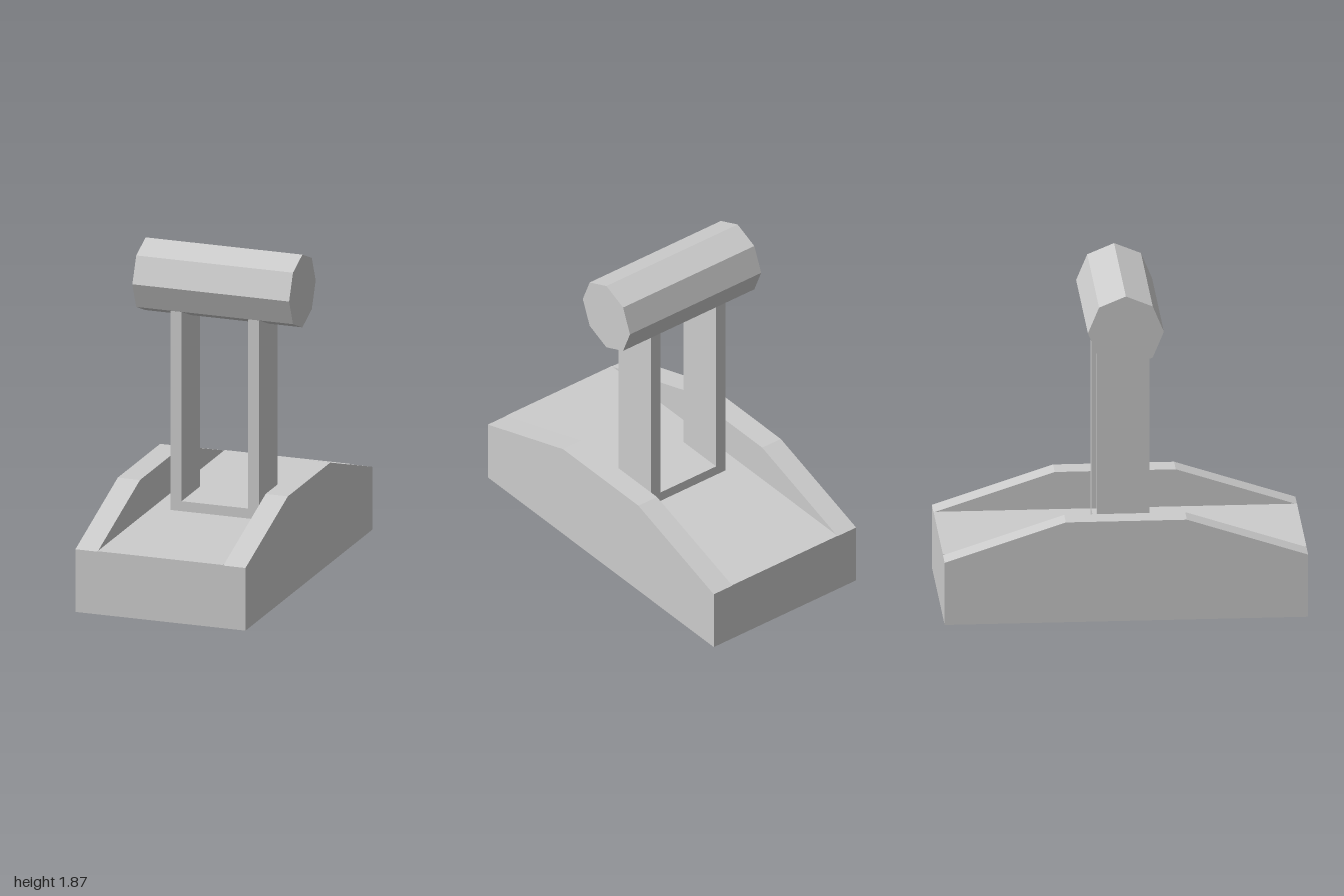
import * as THREE from 'three';

const paint = new THREE.MeshStandardMaterial({ color: 0xcccccc, flatShading: true });
paint.name = 'light grey';

function add(parent, name, geometry, x = 0, y = 0, z = 0) {
  const mesh = new THREE.Mesh(geometry, paint);
  mesh.name = name;
  mesh.position.set(x, y, z);
  parent.add(mesh);
  return mesh;
}

// Outline in the side plane (z, y), extruded along x and centred on x = 0
function sideExtrude(points, width) {
  const shape = new THREE.Shape(points.map(([z, y]) => new THREE.Vector2(-z, y)));
  const geometry = new THREE.ExtrudeGeometry(shape, { depth: width, bevelEnabled: false });
  geometry.translate(0, 0, -width / 2);
  return geometry.rotateY(Math.PI / 2);
}

export function createModel() {
  const model = new THREE.Group();
  model.name = 'pedestal';

  const halfWidth = 0.498, railInner = 0.368, floorY = 0.363;
  const railWidth = halfWidth - railInner;

  // Base block between the side walls
  add(model, 'base', new THREE.BoxGeometry(railInner * 2, floorY, 2), 0, floorY / 2, 0);

  // Side walls, rising to a flat middle
  const wall = [[-1, 0], [1, 0], [1, 0.36], [0.333, 0.578], [-0.333, 0.578], [-1, 0.36]];
  for (const side of [-1, 1]) {
    const label = side > 0 ? 'left' : 'right';
    add(model, label + 'SideWall', sideExtrude(wall, railWidth), side * (railInner + railWidth / 2));
  }

  // U-shaped bracket: two uprights joined at the foot
  const bracket = new THREE.Group();
  bracket.name = 'bracket';
  model.add(bracket);
  const depth = 0.288, inner = 0.195, outer = 0.26, top = 1.52;
  for (const side of [-1, 1]) {
    const label = side > 0 ? 'left' : 'right';
    add(bracket, label + 'Upright', new THREE.BoxGeometry(outer - inner, top - floorY, depth),
      side * (inner + outer) / 2, (top + floorY) / 2, 0);
  }
  add(bracket, 'crossPlate', new THREE.BoxGeometry(inner * 2, 0.42 - floorY, depth), 0, (0.42 + floorY) / 2, 0);

  // Eight-sided drum lying across the uprights, corner upward
  const drum = new THREE.CylinderGeometry(0.209, 0.209, 0.918, 8).rotateZ(Math.PI / 2);
  add(model, 'drum', drum, 0, 1.657, 0);

  return model;
}
